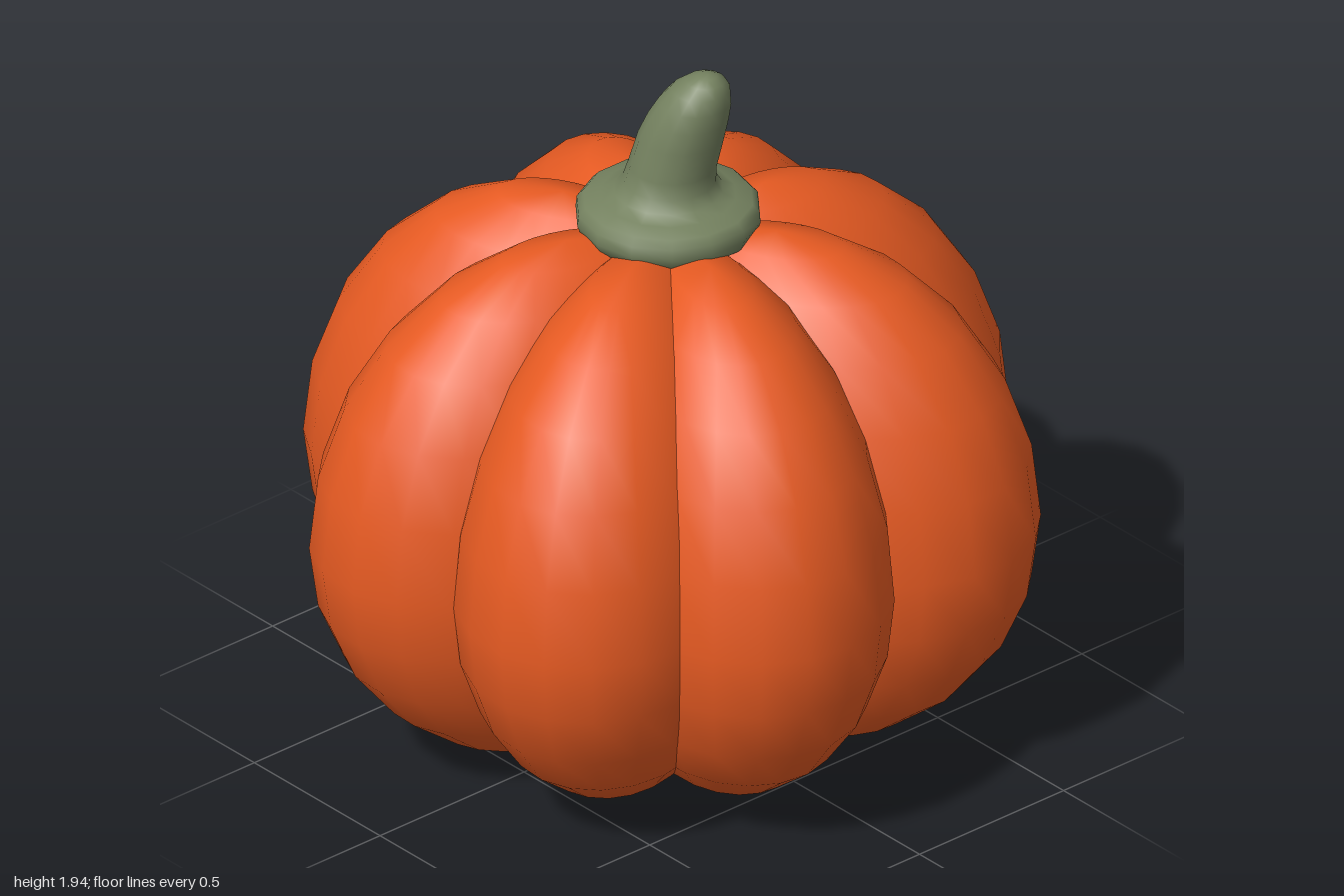
import * as THREE from 'three';
import { mergeVertices } from 'three/addons/utils/BufferGeometryUtils.js';

// Move every vertex by a rule, then weld and smooth the surface
function shape(geometry, rule) {
  geometry.deleteAttribute('uv');
  geometry.deleteAttribute('normal');
  const p = geometry.attributes.position;
  const v = new THREE.Vector3();
  for (let i = 0; i < p.count; i++) {
    rule(v.fromBufferAttribute(p, i));
    p.setXYZ(i, v.x, v.y, v.z);
  }
  const smooth = mergeVertices(geometry, 1e-4);
  smooth.computeVertexNormals();
  return smooth;
}

// One rib: a broad ellipsoid, taller above its widest line, slightly narrower towards the core
function makeLobe(reach) {
  return shape(new THREE.SphereGeometry(1, 24, 12), (v) => {
    const r = 0.295 + 0.705 * v.x;
    v.z *= 0.31 + 0.18 * r;
    v.x = r * reach;
    v.y = 0.69 + v.y * (v.y > 0 ? 0.815 : 0.685);
  });
}

// Stem: a rounded collar and a neck that bends aside as it rises
function makeStem() {
  const profile = [
    [0, 1.44], [0.2, 1.45], [0.235, 1.475], [0.246, 1.505], [0.243, 1.535], [0.225, 1.555],
    [0.18, 1.568], [0.145, 1.585], [0.124, 1.615], [0.117, 1.66], [0.114, 1.75], [0.107, 1.81],
    [0.096, 1.86], [0.078, 1.9], [0.053, 1.927], [0.026, 1.941], [0, 1.945],
  ].map(([r, y]) => new THREE.Vector2(r, y));
  return shape(new THREE.LatheGeometry(profile, 14), (v) => {
    const t = Math.max(0, (v.y - 1.58) / 0.365);
    v.x += 0.09 * t ** 1.6;
    v.z -= 0.06 * t ** 1.3;
  });
}

export function createModel() {
  const model = new THREE.Group();
  model.name = 'pumpkin';
  const orange = new THREE.MeshStandardMaterial({ color: 0xe65a22 });
  const green = new THREE.MeshStandardMaterial({ color: 0x74815f });

  // Unevenly spaced ribs: [angle from +x towards +z in degrees, reach]
  const body = new THREE.Group();
  body.name = 'body';
  const lobes = [
    [-82, 1.005], [-32, 1.005], [19, 0.99], [60, 1.005],
    [104, 1.015], [154.5, 1.01], [201, 0.985], [238, 0.985],
  ];
  lobes.forEach(([angle, reach], i) => {
    const lobe = new THREE.Mesh(makeLobe(reach), orange);
    lobe.name = `lobe${i + 1}`;
    lobe.rotation.y = -THREE.MathUtils.degToRad(angle);
    body.add(lobe);
  });
  model.add(body);

  const stem = new THREE.Mesh(makeStem(), green);
  stem.name = 'stem';
  model.add(stem);
  return model;
}
